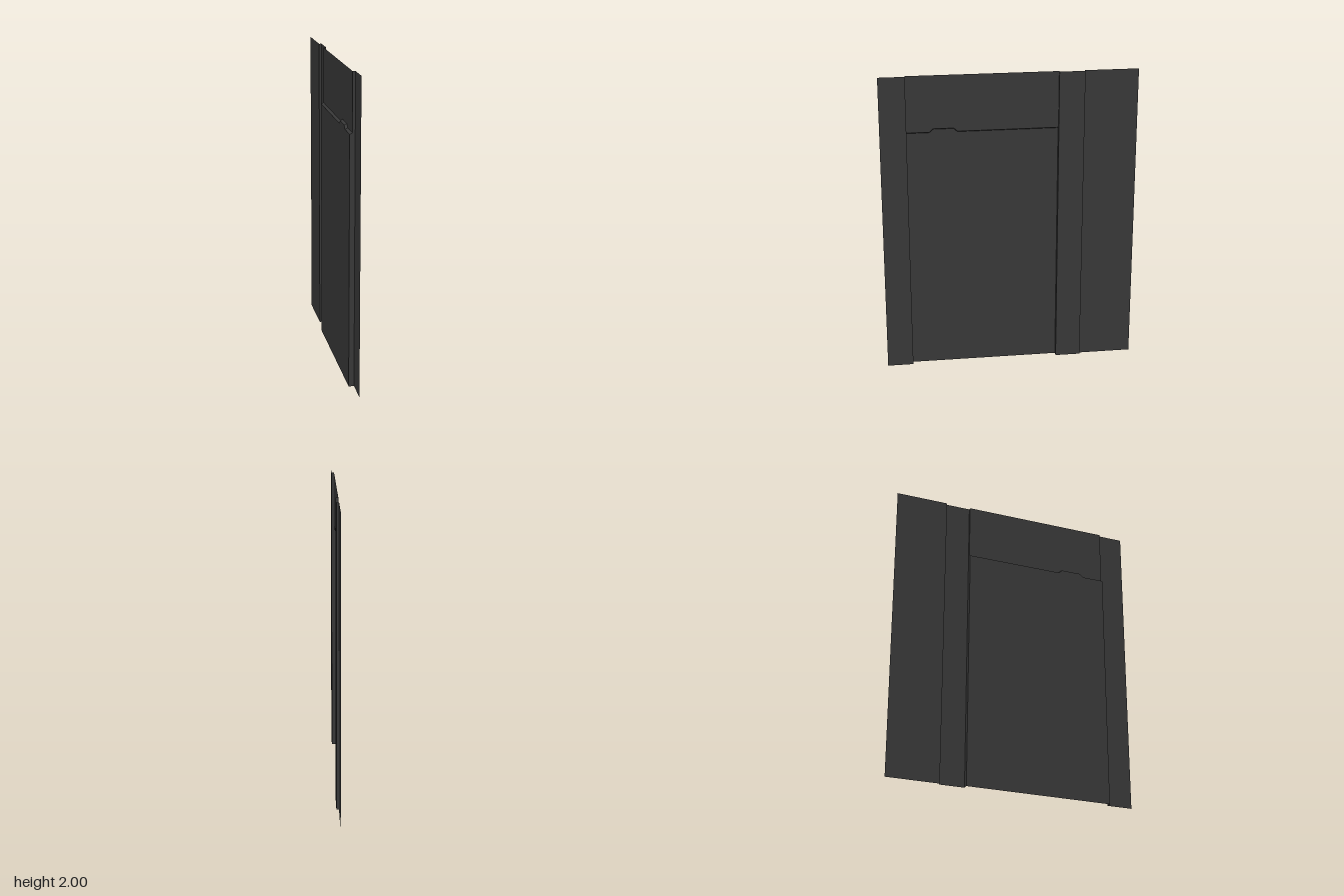
import * as THREE from 'three';

// Depth levels of the stepped sheet, from recessed to raised
const LOW = -0.017, MID = 0, HIGH = 0.017;
const HEIGHT = 2;
// Breaks along the width (z), from the front edge to the back edge
const Z_FRONT = 0.834, Z_SEAM_A = 0.663, Z_SEAM_B = -0.317, Z_RIB = -0.484, Z_BACK = -0.834;
// Lower edge of the upper panel as [z, y], with its raised tab
const SEAM = [
  [Z_SEAM_A, 1.63], [0.515, 1.63], [0.492, 1.652],
  [0.36, 1.652], [0.335, 1.63], [Z_SEAM_B, 1.63],
];
const SEAM_DROP = 0.008; // the ledge slopes down slightly towards the lower panel

export function createModel() {
  const group = new THREE.Group();
  const material = new THREE.MeshStandardMaterial({
    color: 0x383838, side: THREE.DoubleSide, flatShading: true,
  });
  const add = (name, geometry) => {
    const mesh = new THREE.Mesh(geometry, material);
    mesh.name = name;
    group.add(mesh);
    return mesh;
  };
  const shape = (points) =>
    new THREE.ShapeGeometry(new THREE.Shape(points.map(([a, b]) => new THREE.Vector2(a, b))));

  // Flat panel facing +x, outlined by [z, y] points
  const panel = (name, x, points) =>
    add(name, shape(points.map(([z, y]) => [-z, y])).rotateY(Math.PI / 2).translate(x, 0, 0));
  const strip = (name, x, z0, z1) =>
    panel(name, x, [[z0, 0], [z1, 0], [z1, HEIGHT], [z0, HEIGHT]]);

  // Step wall across the depth, outlined by [x, y] points
  const wall = (name, z, points, facesBack) => {
    const geometry = shape(facesBack ? points.map(([x, y]) => [-x, y]) : points);
    if (facesBack) geometry.rotateY(Math.PI);
    add(name, geometry.translate(0, 0, z));
  };

  // Full-height strips
  strip('frontEdgeStrip', HIGH, Z_FRONT, Z_SEAM_A);
  strip('raisedRib', HIGH, Z_SEAM_B, Z_RIB);
  strip('backEdgePanel', MID, Z_RIB, Z_BACK);

  // Upper and lower panels that meet at the tabbed seam
  const lowSeam = SEAM.map(([z, y]) => [z, y - SEAM_DROP]);
  panel('upperPanel', MID, [...SEAM, [Z_SEAM_B, HEIGHT], [Z_SEAM_A, HEIGHT]]);
  panel('lowerPanel', LOW, [[Z_SEAM_A, 0], [Z_SEAM_B, 0], ...[...lowSeam].reverse()]);

  // Ledge joining the two seam edges
  const vertices = [], index = [];
  SEAM.forEach(([z, y], i) => {
    vertices.push(LOW, y - SEAM_DROP, z, MID, y, z);
    if (i) {
      const a = 2 * (i - 1);
      index.push(a, a + 2, a + 3, a, a + 3, a + 1);
    }
  });
  const ledge = new THREE.BufferGeometry();
  ledge.setAttribute('position', new THREE.Float32BufferAttribute(vertices, 3));
  ledge.setIndex(index);
  ledge.computeVertexNormals();
  add('seamLedge', ledge);

  // Walls between the depth levels
  const seamY = SEAM[0][1];
  const stepped = [
    [LOW, 0], [HIGH, 0], [HIGH, HEIGHT], [MID, HEIGHT], [MID, seamY], [LOW, seamY - SEAM_DROP],
  ];
  wall('frontStepWall', Z_SEAM_A, stepped, true);
  wall('ribFrontWall', Z_SEAM_B, stepped, false);
  wall('ribBackWall', Z_RIB, [[MID, 0], [HIGH, 0], [HIGH, HEIGHT], [MID, HEIGHT]], true);

  return group;
}
